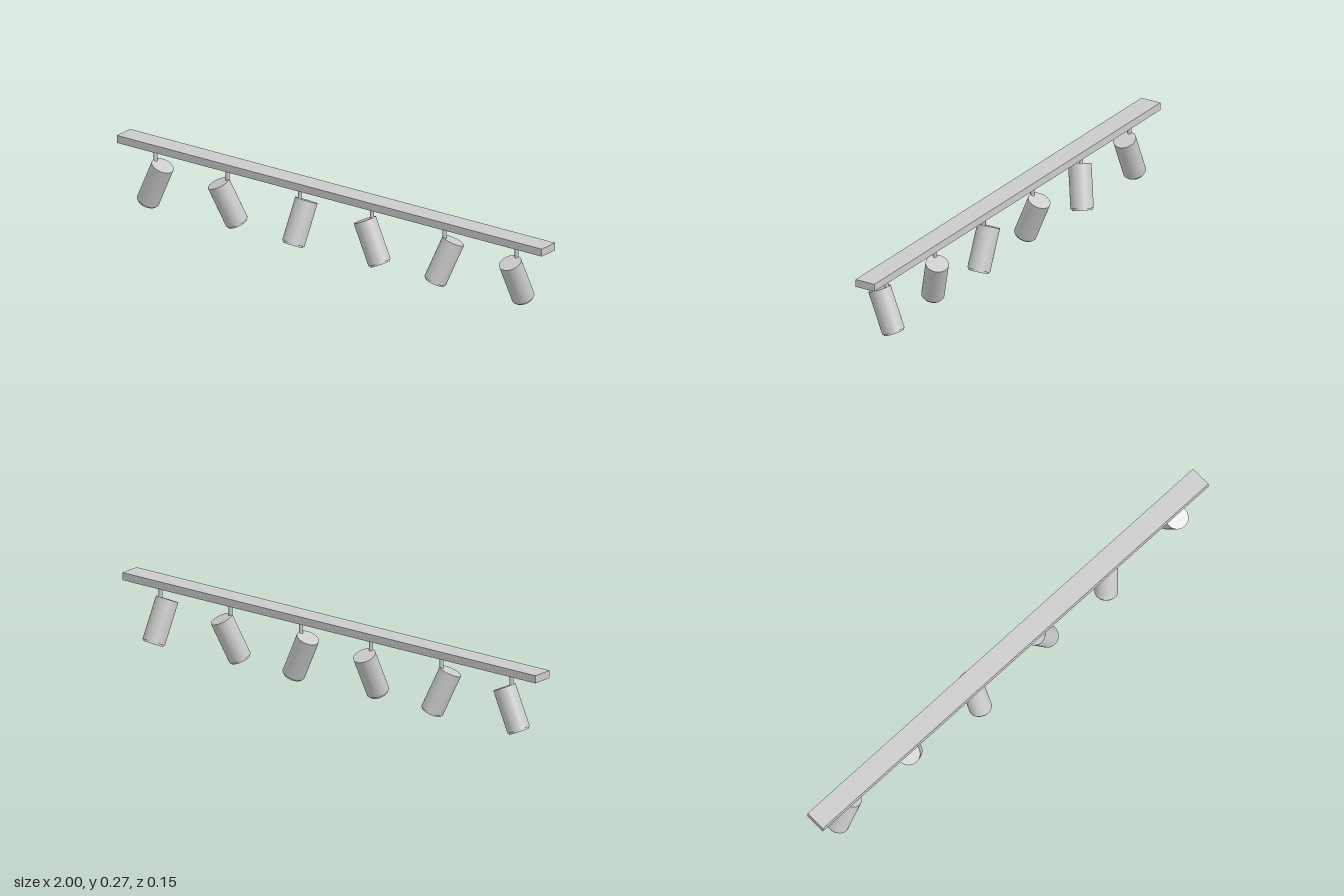
import * as THREE from 'three';

const material = new THREE.MeshStandardMaterial({ color: 0xcccccc });

function addMesh(parent, name, geometry, y) {
  const mesh = new THREE.Mesh(geometry, material);
  mesh.name = name;
  mesh.position.y = y;
  parent.add(mesh);
  return mesh;
}

export function createModel() {
  const model = new THREE.Group();
  model.name = 'trackLight';

  // Ceiling rail
  addMesh(model, 'rail', new THREE.BoxGeometry(2, 0.03, 0.084), 0.255);

  const stemGeometry = new THREE.CylinderGeometry(0.0078, 0.0078, 0.07, 24);
  const bodyGeometry = new THREE.CylinderGeometry(0.044, 0.044, 0.17, 48);
  const lensGeometry = new THREE.CylinderGeometry(0.039, 0.039, 0.01, 48);

  // Horizontal aim of each spot (x, z), in order from -x to +x
  const aims = [[-1, 0], [0.77, -0.64], [-0.14, 0.99], [1, 0], [-0.69, 0.72], [0.14, -0.99]];
  const tilt = THREE.MathUtils.degToRad(24);
  const down = new THREE.Vector3(0, -1, 0);

  aims.forEach(([x, z], i) => {
    const spot = new THREE.Group();
    spot.name = `spot${i + 1}`;
    spot.position.x = -0.85 + i * 0.34;

    // Stem hanging from the rail
    addMesh(spot, 'stem', stemGeometry, 0.206);

    // Tilted lamp head with a stepped lens at the lower end
    const head = new THREE.Group();
    head.name = 'lampHead';
    head.position.y = 0.1;
    const aim = new THREE.Vector3(x, 0, z).normalize().multiplyScalar(Math.sin(tilt));
    aim.y = -Math.cos(tilt);
    head.quaternion.setFromUnitVectors(down, aim);
    addMesh(head, 'lampBody', bodyGeometry, 0);
    addMesh(head, 'lens', lensGeometry, -0.087);
    spot.add(head);

    model.add(spot);
  });

  return model;
}
